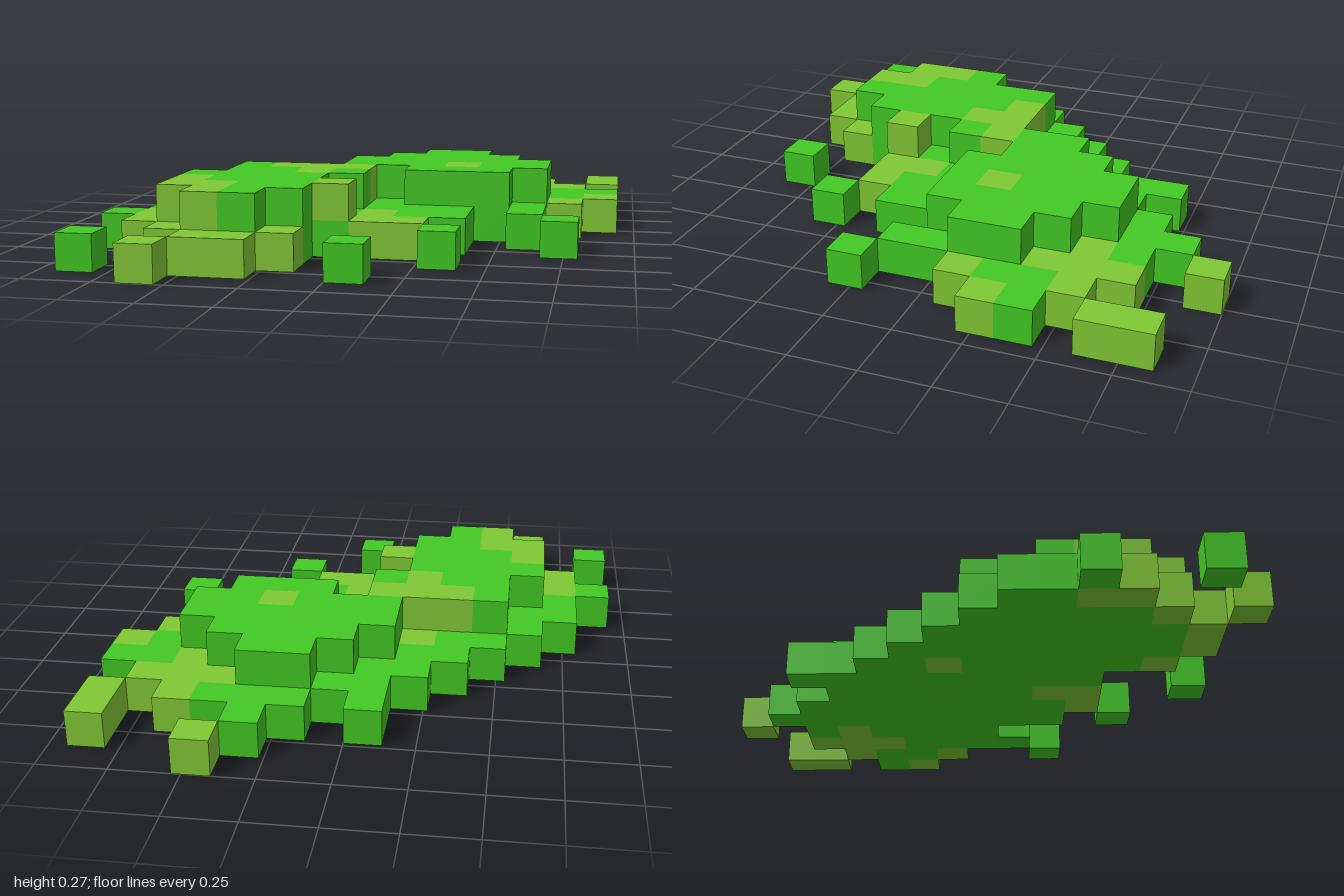
import * as THREE from 'three';
import { mergeGeometries } from 'three/addons/utils/BufferGeometryUtils.js';

const CELL = 2 / 15;

// Each string is a row from back to front, each letter a block from -x to +x:
// G = leaf green, L = lime, . = empty
const lower = [
  '..........L...',
  '.........G...L',
  '......G.GGGL.L',
  '......GGGGLLL.',
  '.....GGGGGGLGG',
  '....GGGGGGGGGL',
  '...GGLGGGGGGL.',
  '..GGGGGGGGGG..',
  '.GGGGGGGGG.G..',
  '.GGGGGGLGG..G.',
  'GLGGGGGLL.....',
  '.LGGGG...G....',
  '..LGGL........',
  'G..LL..G......',
  '..L...........',
];
const upper = [
  '', '', '',
  '........GG....',
  '.......GGGG...',
  '......GGGGGG..',
  '......GGGLGG..',
  '...GLLL.GGG...',
  '...GGLG.......',
  '..GGGG........',
  '..LGGGL.......',
  '..LLGG........',
  '...LG.........',
];
const layers = [lower, upper];

const blockAt = (i, k, j) => {
  const c = layers[k]?.[j]?.[i];
  return c === 'G' || c === 'L' ? c : null;
};

// One outward-facing square for each of the six directions
const sides = [
  [1, 0, 0], [-1, 0, 0], [0, 1, 0], [0, -1, 0], [0, 0, 1], [0, 0, -1],
].map((dir) => {
  const normal = new THREE.Vector3(...dir);
  const turn = new THREE.Quaternion().setFromUnitVectors(new THREE.Vector3(0, 0, 1), normal);
  const face = new THREE.PlaneGeometry(CELL, CELL).applyQuaternion(turn);
  face.translate(...normal.multiplyScalar(CELL / 2).toArray());
  return { dir, face };
});

// Collects the exposed faces of all blocks of one colour in one layer
function layerGeometry(k, letter) {
  const faces = [];
  for (let j = 0; j < 15; j++) {
    for (let i = 0; i < 14; i++) {
      if (blockAt(i, k, j) !== letter) continue;
      for (const { dir, face } of sides) {
        if (blockAt(i + dir[0], k + dir[1], j + dir[2])) continue;
        faces.push(face.clone().translate((i - 6.5) * CELL, (k + 0.5) * CELL, (j - 7) * CELL));
      }
    }
  }
  return mergeGeometries(faces);
}

export function createModel() {
  const group = new THREE.Group();
  group.name = 'leafPatch';
  const colours = { G: ['leafGreen', 0x42c923], L: ['lime', 0x80c834] };

  for (const [letter, [name, color]] of Object.entries(colours)) {
    const material = new THREE.MeshStandardMaterial({ color });
    material.name = name;
    ['lowerLayer', 'upperLayer'].forEach((layerName, k) => {
      const mesh = new THREE.Mesh(layerGeometry(k, letter), material);
      mesh.name = `${layerName} ${name} blocks`;
      group.add(mesh);
    });
  }
  return group;
}
